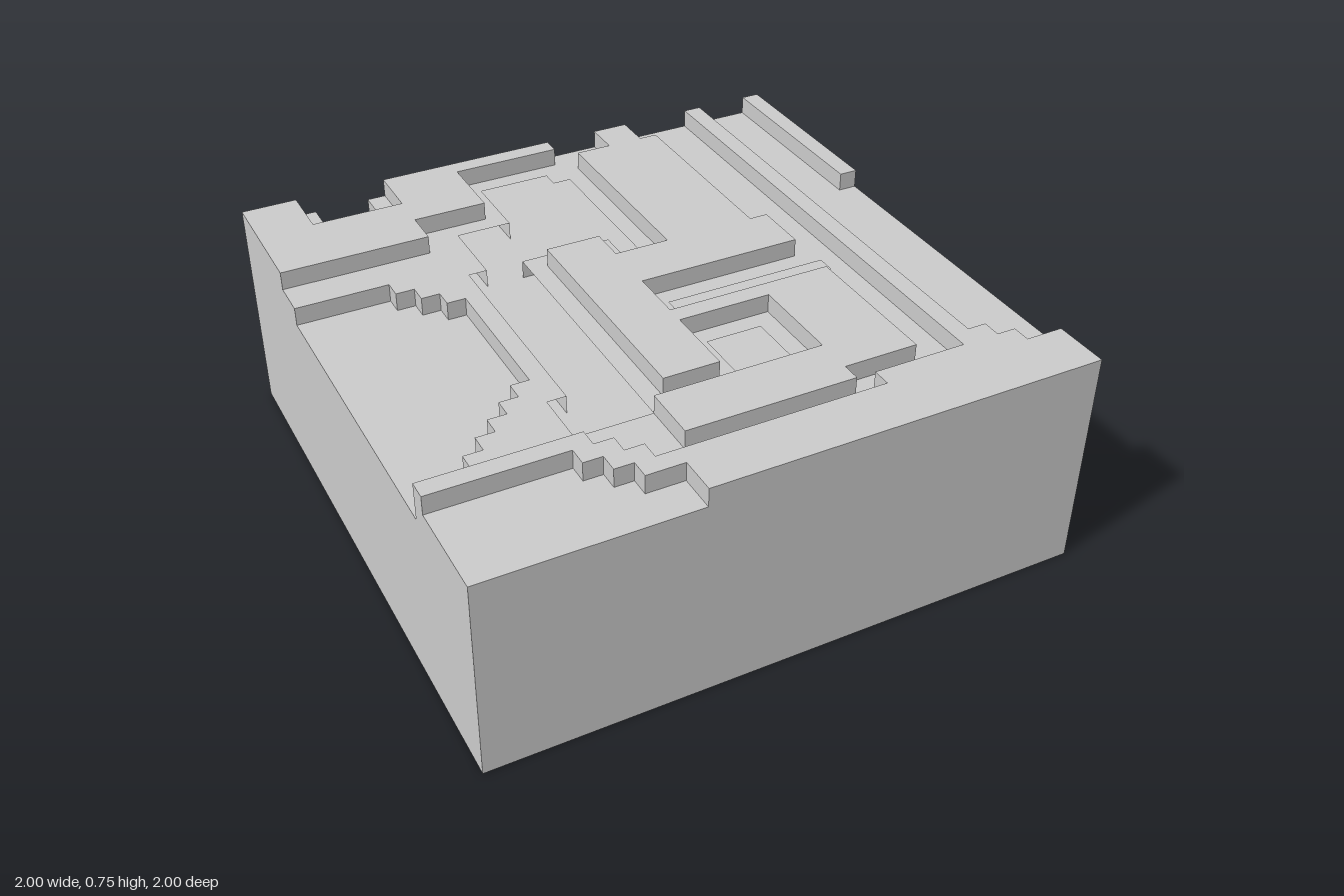
import * as THREE from 'three';

const U = 1 / 16; // layout grid step
const material = new THREE.MeshStandardMaterial({ color: 0xcccccc, flatShading: true });

// Right-angled outline: each x,z pair is a corner, joined to the next by a run in x, then a run in z.
function corners(list) {
  const points = [];
  for (let i = 0; i < list.length; i += 2) {
    const nextX = list[(i + 2) % list.length];
    points.push(new THREE.Vector2(list[i] * U, -list[i + 1] * U));
    points.push(new THREE.Vector2(nextX * U, -list[i + 1] * U));
  }
  return points;
}

// One terrace step: an outline with optional holes, raised from y = bottom by one grid step.
function terrace(name, bottom, outline, holes = []) {
  const shape = new THREE.Shape(corners(outline));
  for (const hole of holes) shape.holes.push(new THREE.Path(corners(hole)));
  const geometry = new THREE.ExtrudeGeometry(shape, { depth: U, bevelEnabled: false });
  geometry.rotateX(-Math.PI / 2).translate(0, bottom, 0);
  const mesh = new THREE.Mesh(geometry, material);
  mesh.name = name;
  return mesh;
}

export function createModel() {
  const group = new THREE.Group();
  group.name = 'terracedBlock';

  // Solid block up to the lowest floor
  const baseTop = 10 * U;
  const base = new THREE.Mesh(new THREE.BoxGeometry(2, baseTop, 2), material);
  base.name = 'baseBlock';
  base.position.y = baseTop / 2;
  group.add(base);

  // Middle floor, notched by the back pit and the stepped basin on the -x side
  const floorOutline = [
    -16, -16, -12, -14, -9, -16, 16, 16, -16, 10, -14, 9, -13, 8, -12, 7,
    -11, 6, -10, 5, -9, 4, -8, -4, -9, -5, -10, -6, -11, -7,
  ];
  const channel = [-3, -14, 1, -13, 2, -4, 1, -6, -4, 9, -8, 6, -7, -6, -6, -10];
  const slot = [1, 1, 10, 2];
  const squarePit = [1, 5, 4, 8];
  group.add(terrace('middleFloor', baseTop, floorOutline, [channel, slot, squarePit]));

  // Raised top pieces
  const raised = {
    backPlateau: [-16, -16, -13, -13, -8, -16, 2, -15, -4, -11, -8, -9],
    centreMaze: [
      5, -16, 7, -14, 8, -3, 9, 0, 0, 3, 9, 11, 5, 12, -4, 9,
      5, 4, 0, 8, -3, -5, 0, -3, 3, -14,
    ],
    frontRidge: [
      -16, 10, -8, 11, -7, 12, -6, 13, 6, 12, 11, -16, 12, 11, 13, 12,
      14, 13, 16, 16, -5, 14, -7, 13, -8, 12, -9, 11,
    ],
    sideRidge: [15, -16, 16, -5],
  };
  for (const [name, outline] of Object.entries(raised)) {
    group.add(terrace(name, baseTop + U, outline));
  }
  return group;
}
